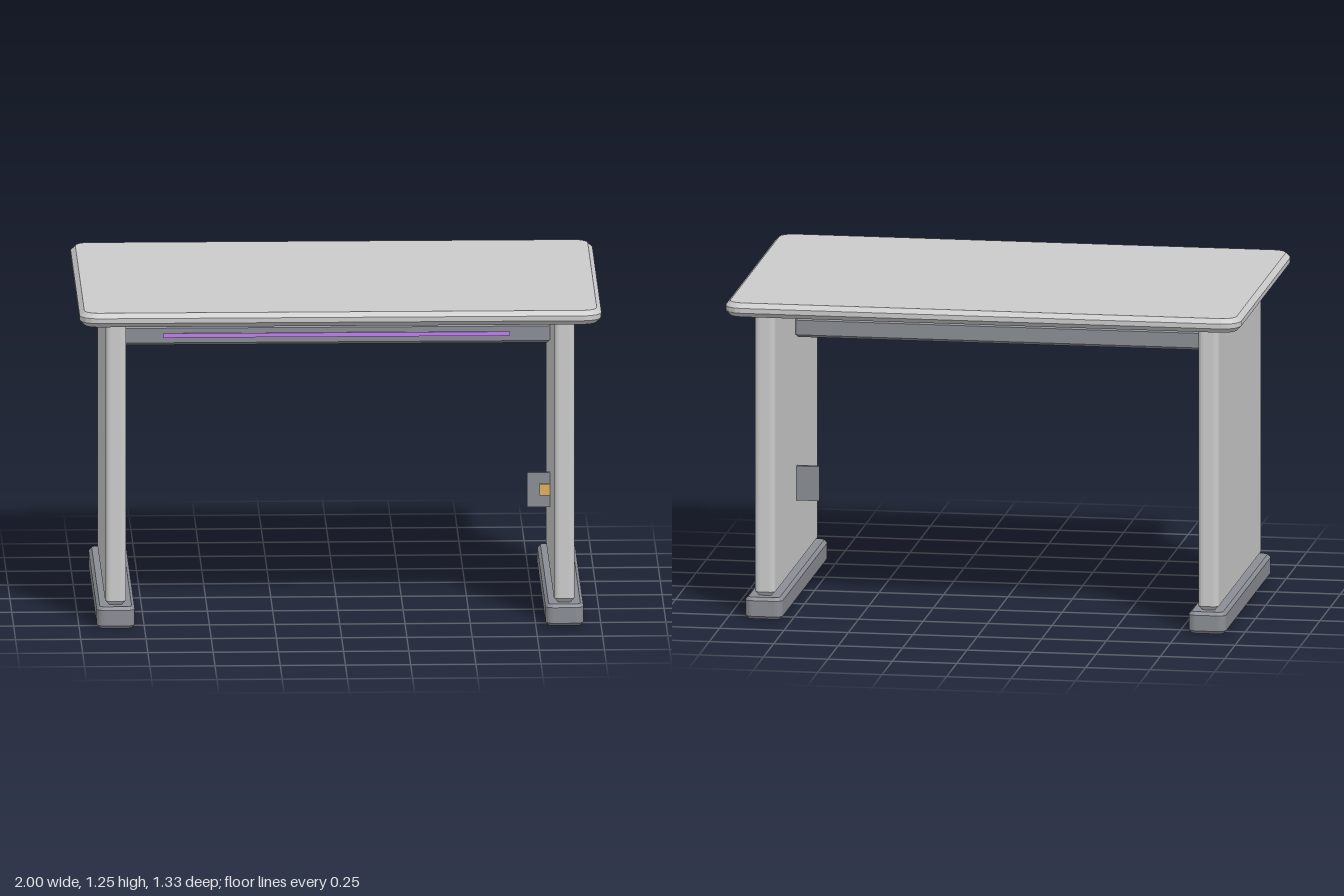
import * as THREE from 'three';

const grey = new THREE.MeshStandardMaterial({ color: 0xcccccc });
const dark = new THREE.MeshStandardMaterial({ color: 0x8a8d94 });
const violet = new THREE.MeshStandardMaterial({ color: 0xc080f0 });
const amber = new THREE.MeshStandardMaterial({ color: 0xe0b060 });

// Slab with cut vertical corners (radius r) and a chamfer (b) round top and bottom; base at y = 0
function slab(w, h, d, r, b) {
  const x = w / 2 - b, z = d / 2 - b, q = r - b;
  const s = new THREE.Shape();
  s.moveTo(-x + q, -z);
  s.lineTo(x - q, -z);
  s.absarc(x - q, -z + q, q, -Math.PI / 2, 0);
  s.lineTo(x, z - q);
  s.absarc(x - q, z - q, q, 0, Math.PI / 2);
  s.lineTo(-x + q, z);
  s.absarc(-x + q, z - q, q, Math.PI / 2, Math.PI);
  s.lineTo(-x, -z + q);
  s.absarc(-x + q, -z + q, q, Math.PI, Math.PI * 1.5);
  return new THREE.ExtrudeGeometry(s, {
    depth: h - 2 * b, curveSegments: 2,
    bevelEnabled: true, bevelSegments: 1, bevelSize: b, bevelThickness: b,
  }).translate(0, 0, b).rotateX(-Math.PI / 2);
}

export function createModel() {
  const desk = new THREE.Group();
  desk.name = 'desk';
  const add = (name, geometry, material, x, y, z) => {
    const mesh = new THREE.Mesh(geometry, material);
    mesh.name = name;
    mesh.position.set(x, y, z);
    desk.add(mesh);
  };

  // Tabletop
  add('tabletop', slab(2, 0.055, 1.33, 0.07, 0.018), grey, 0, 1.2, 0);

  // Side panels on their feet
  for (const [side, x] of [['left', 0.86], ['right', -0.86]]) {
    add(side + 'Panel', slab(0.08, 1.117, 1.065, 0.022, 0.018), grey, x, 0.083, 0);
    add(side + 'Foot', slab(0.146, 0.085, 1.134, 0.03, 0.012), dark, x, 0, 0);
  }

  // Crossbeam with light strip on its front
  add('crossbeam', slab(1.64, 0.077, 0.085, 0.014, 0.01), dark, 0, 0.998, 0);
  add('lightStrip', new THREE.BoxGeometry(1.33, 0.016, 0.01), violet, 0, 1.037, 0.044);

  // Small plate on the inside of the left panel, with its button
  add('plate', new THREE.BoxGeometry(0.09, 0.135, 0.02), dark, 0.777, 0.418, 0.01);
  add('button', new THREE.BoxGeometry(0.04, 0.045, 0.012), amber, 0.8, 0.42, 0.025);

  return desk;
}
